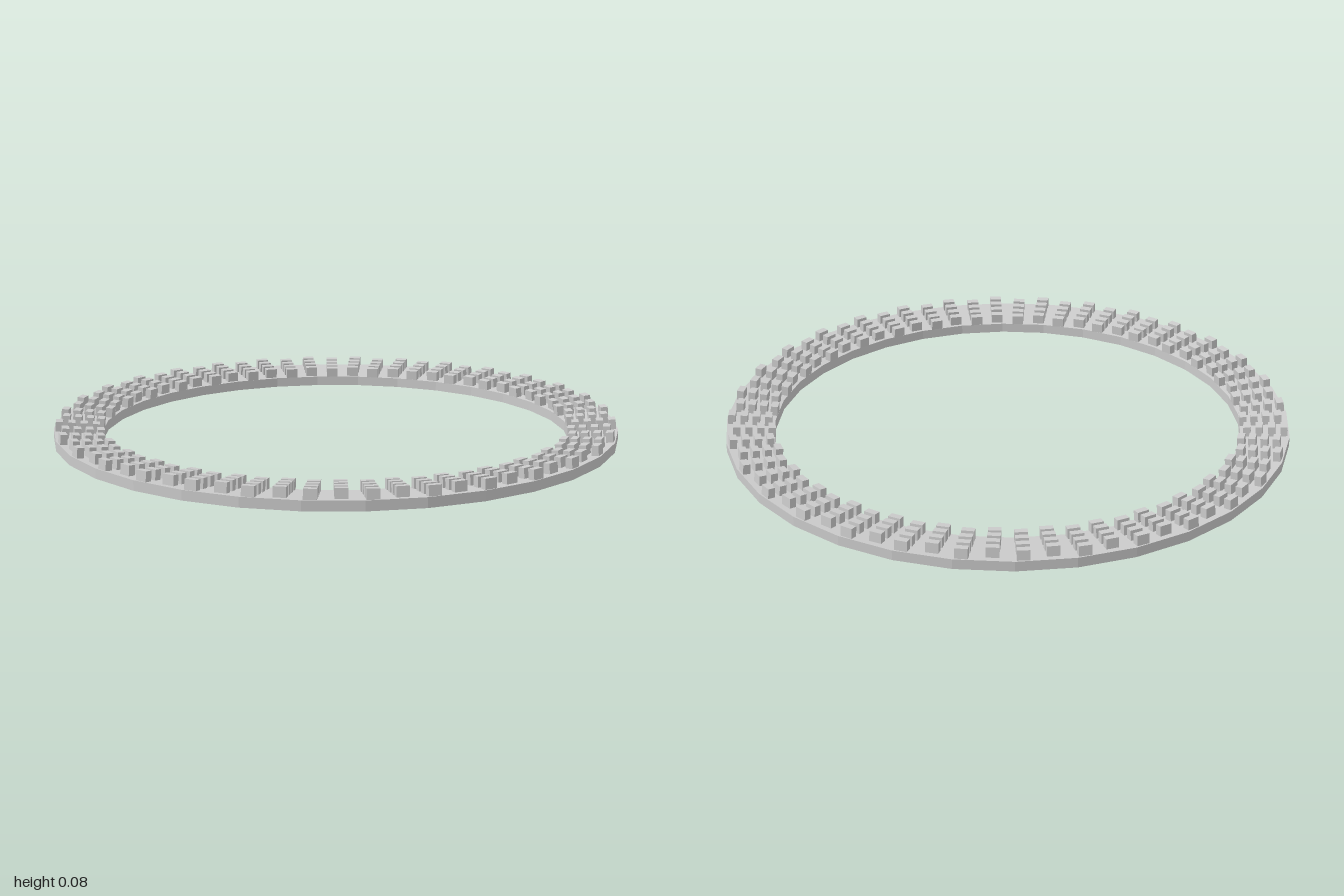
import * as THREE from 'three';
import { mergeGeometries } from 'three/addons/utils/BufferGeometryUtils.js';

const SIDES = 32;
const STEP = (Math.PI * 2) / SIDES;
const CORNER = 1 / Math.cos(STEP / 2); // flat-to-corner radius ratio
const INNER = 0.83, OUTER = 1;
const RISE = 0.015, THICK = 0.035, TOOTH = 0.035;
const SLOPE = RISE / (OUTER - INNER);

// Height of the sloping top face at a given radius
const topAt = (r) => THICK + (r - INNER) * SLOPE;

// One block standing on the sloping face
function tooth(r, angle) {
  const sunk = 0.004;
  const g = new THREE.BoxGeometry(0.043, TOOTH + sunk, 0.025);
  g.translate(0, (TOOTH - sunk) / 2, 0);
  g.rotateX(-Math.atan(SLOPE));
  g.translate(0, topAt(r), r);
  g.rotateY(angle);
  return g;
}

export function createModel() {
  const model = new THREE.Group();
  model.name = 'toothedRing';
  const material = new THREE.MeshStandardMaterial({ color: 0xcccccc, flatShading: true });

  // Faceted ring, its top and bottom sloping down towards the middle
  const profile = [
    [INNER, 0], [OUTER, RISE], [OUTER, RISE + THICK], [INNER, THICK], [INNER, 0],
  ].map(([r, y]) => new THREE.Vector2(r * CORNER, y));
  const ring = new THREE.Mesh(new THREE.LatheGeometry(profile, SIDES, STEP / 2), material);
  ring.name = 'ring';
  model.add(ring);

  // Two staggered radial columns of teeth on every side of the ring
  const columns = [
    { name: 'outerTeeth', angle: -4.1, radii: [0.985, 0.942, 0.899, 0.856] },
    { name: 'innerTeeth', angle: 1.5, radii: [0.966, 0.924, 0.882, 0.843] },
  ];
  for (const { name, angle, radii } of columns) {
    const parts = [];
    for (let i = 0; i < SIDES; i++) {
      for (const r of radii) parts.push(tooth(r, i * STEP + THREE.MathUtils.degToRad(angle)));
    }
    const teeth = new THREE.Mesh(mergeGeometries(parts), material);
    teeth.name = name;
    model.add(teeth);
  }
  return model;
}
